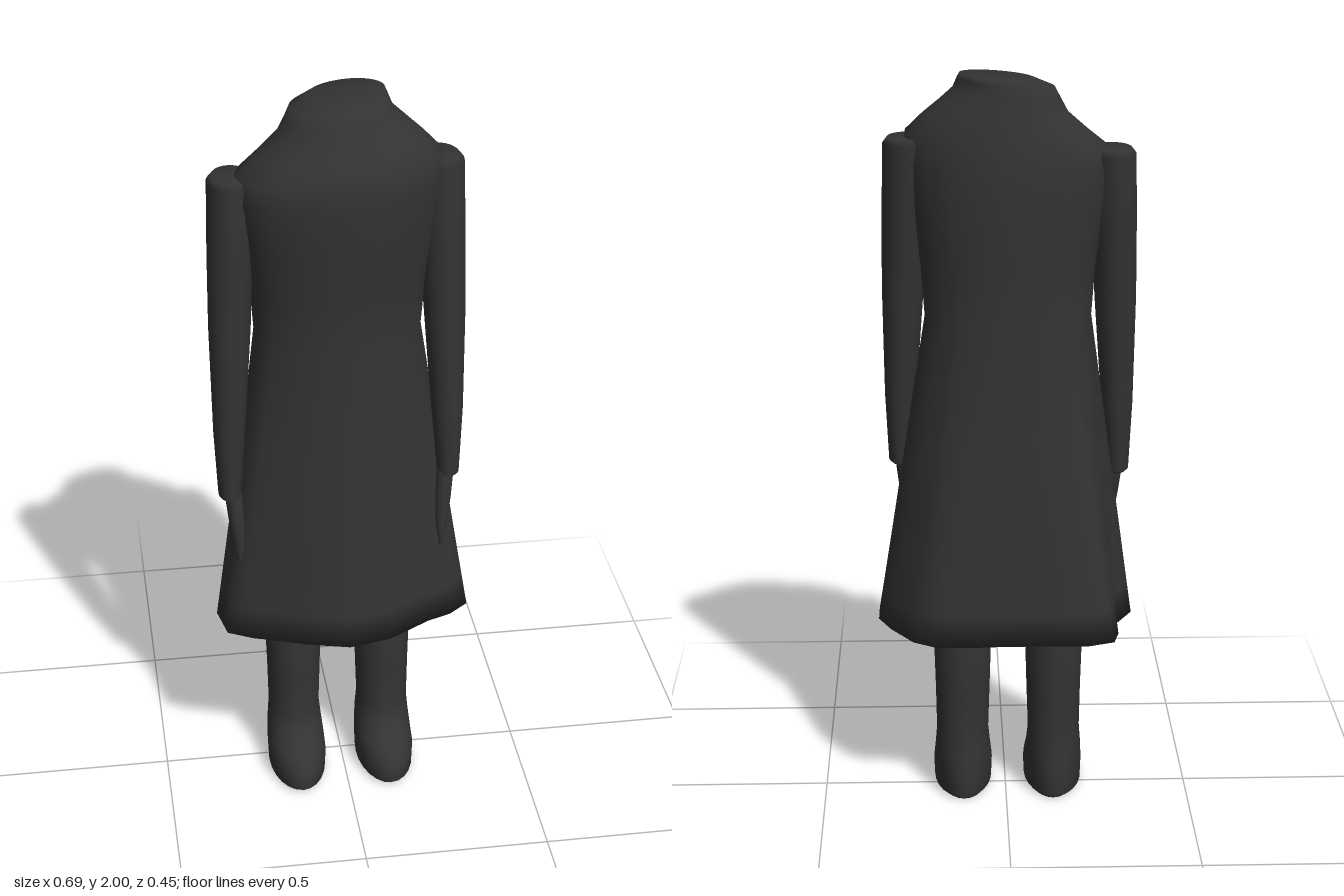
import * as THREE from 'three';

const charcoal = new THREE.MeshStandardMaterial({ color: 0x333333 });
charcoal.name = 'charcoal';

// Closed smooth skin over loops of points, all loops with the same count, bottom to top
function skin(name, loops) {
  const n = loops[0].length, pos = [], idx = [];
  for (const loop of loops) for (const p of loop) pos.push(...p);
  const centre = (loop) => {
    const c = [0, 1, 2].map((k) => loop.reduce((s, p) => s + p[k], 0) / n);
    pos.push(...c);
    return pos.length / 3 - 1;
  };
  const low = centre(loops[0]), high = centre(loops[loops.length - 1]);
  const last = (loops.length - 1) * n;
  for (let i = 0; i < n; i++) {
    const j = (i + 1) % n;
    for (let r = 0; r < last; r += n) {
      idx.push(r + i, r + n + i, r + j, r + j, r + n + i, r + n + j);
    }
    idx.push(low, i, j, high, last + j, last + i);
  }
  const g = new THREE.BufferGeometry();
  g.setAttribute('position', new THREE.Float32BufferAttribute(pos, 3));
  g.setIndex(idx);
  g.computeVertexNormals();
  const mesh = new THREE.Mesh(g, charcoal);
  mesh.name = name;
  return mesh;
}

// Oval loop from its bounds; tilt raises the +x side
function oval([y, x0, x1, z0, z1, tilt = 0], angles) {
  const cx = (x0 + x1) / 2, cz = (z0 + z1) / 2;
  return angles.map((a) => {
    const x = cx + Math.cos(a) * (x1 - x0) / 2;
    return [x, y + tilt * x, cz + Math.sin(a) * (z1 - z0) / 2];
  });
}

const round = Array.from({ length: 24 }, (_, i) => (i / 24) * Math.PI * 2);
const limb = (name, rings) => skin(name, rings.map((r) => oval(r, round)));

// Uneven outline of the coat hem, as x and z
const hem = [
  [-0.3, -0.14], [-0.285, -0.2], [-0.215, -0.225], [0, -0.222], [0.105, -0.228],
  [0.195, -0.22], [0.25, -0.185], [0.31, -0.095], [0.345, -0.02], [0.345, 0.06],
  [0.29, 0.105], [0.225, 0.13], [0.11, 0.2], [-0.005, 0.225], [-0.12, 0.195],
  [-0.2, 0.165], [-0.26, 0.145], [-0.325, 0.11], [-0.345, 0.01], [-0.3, -0.07],
];

function makeCoat() {
  const outline = [];
  hem.forEach((p, i) => {
    const q = hem[(i + 1) % hem.length];
    outline.push(p, [(p[0] + q[0]) / 2, (p[1] + q[1]) / 2]);
  });
  const angles = outline.map(([x, z]) => Math.atan2(z / 0.225, x / 0.345));
  const waist = oval([1.36, -0.225, 0.212, -0.167, 0.14], angles);
  // Skirt flares from the waist to the hem
  const skirt = [0, 0.1, 0.35, 0.65].map((t) => outline.map(([x, z], i) => [
    x + (waist[i][0] - x) * t, 0.505 + (1.36 - 0.505) * t, z + (waist[i][2] - z) * t,
  ]));
  // Chest, shoulders and high collar
  const upper = [
    [1.5, -0.235, 0.222, -0.17, 0.15],
    [1.65, -0.258, 0.245, -0.172, 0.162],
    [1.76, -0.275, 0.262, -0.168, 0.167, 0.05],
    [1.825, -0.265, 0.258, -0.158, 0.163, 0.08],
    [1.87, -0.21, 0.212, -0.15, 0.135, 0.1],
    [1.91, -0.16, 0.17, -0.142, 0.105, 0.1],
    [1.945, -0.14, 0.135, -0.133, 0.09, 0.1],
    [1.973, -0.125, 0.124, -0.13, 0.068, 0.1],
    [1.99, -0.075, 0.118, -0.124, 0.03, 0.08],
  ].map((r) => oval(r, angles));
  return skin('coat', [...skirt, waist, ...upper]);
}

function makeArm(side) {
  const left = side > 0, arm = new THREE.Group();
  arm.name = left ? 'leftArm' : 'rightArm';
  const lift = left ? 0.03 : 0, out = left ? 0.022 : 0;
  // Rings as height, inner x, outer x, back z, front z
  const build = (name, rows) => limb(name, rows.map(([y, inner, outer, z0, z1]) => {
    const a = side * (inner - out), b = side * (outer - out);
    return [y + lift, Math.min(a, b), Math.max(a, b), z0, z1];
  }));
  arm.add(build('sleeve', [
    [0.905, 0.285, 0.325, 0.02, 0.085],
    [0.915, 0.272, 0.334, 0.003, 0.1],
    [1.1, 0.258, 0.342, -0.008, 0.095],
    [1.4, 0.235, 0.345, -0.035, 0.082],
    [1.6, 0.225, 0.342, -0.06, 0.076],
    [1.785, 0.215, 0.337, -0.083, 0.07],
    [1.8, 0.225, 0.325, -0.07, 0.06],
  ]));
  arm.add(build('hand', [
    [0.7, 0.278, 0.288, 0.085, 0.1],
    [0.76, 0.268, 0.298, 0.075, 0.105],
    [0.84, 0.265, 0.31, 0.05, 0.103],
    [0.95, 0.275, 0.322, 0.02, 0.09],
  ]));
  return arm;
}

// Trouser leg running into a rounded shoe
function makeLeg(side) {
  const rows = [
    [0, 0.058, 0.19, -0.105, 0.185],
    [0.01, 0.047, 0.205, -0.115, 0.197],
    [0.06, 0.045, 0.207, -0.113, 0.193],
    [0.09, 0.047, 0.205, -0.11, 0.15],
    [0.13, 0.051, 0.202, -0.105, 0.095],
    [0.18, 0.056, 0.198, -0.097, 0.075],
    [0.3, 0.052, 0.2, -0.1, 0.074],
    [0.6, 0.043, 0.208, -0.112, 0.07],
  ];
  const shift = side > 0 ? -0.008 : 0.006;
  return limb(side > 0 ? 'leftLeg' : 'rightLeg', rows.map(([y, inner, outer, z0, z1]) => {
    const a = side * inner, b = side * outer;
    const s = side > 0 ? shift : -shift;
    return [y, Math.min(a, b) + s, Math.max(a, b) + s, z0, z1];
  }));
}

export function createModel() {
  const model = new THREE.Group();
  model.name = 'coatFigure';
  model.add(makeCoat());
  for (const side of [-1, 1]) model.add(makeArm(side), makeLeg(side));
  return model;
}
